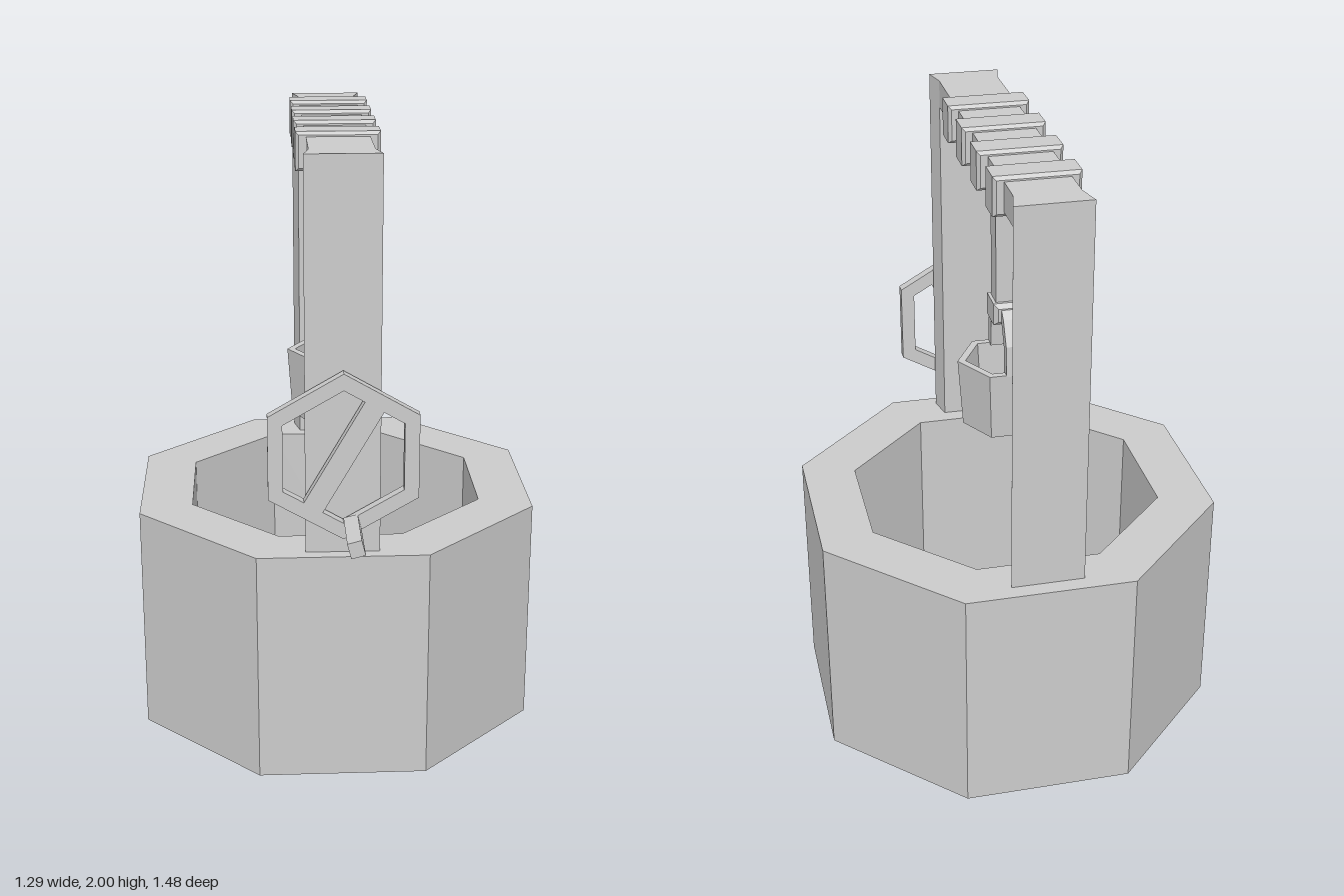
import * as THREE from 'three';

const material = new THREE.MeshStandardMaterial({ color: 0xcccccc, flatShading: true });
const WELL_Z = -0.098; // axis of well ring, rope and bucket
const RIM = 0.757;

const points = (list) => list.map(([x, y]) => new THREE.Vector2(x, y));

const polygon = (sides, radius, offset) =>
  points(Array.from({ length: sides }, (_, i) => {
    const a = offset + (i / sides) * Math.PI * 2;
    return [radius * Math.cos(a), radius * Math.sin(a)];
  }));

// Extrudes an outline (with optional hole) along z, starting at z = 0
function prism(outline, depth, hole) {
  const shape = new THREE.Shape(outline);
  if (hole) shape.holes.push(new THREE.Path(hole));
  return new THREE.ExtrudeGeometry(shape, { depth, bevelEnabled: false });
}

// Box centred on the origin, chamfered at both z ends
function chamferedBox(w, h, d, bevel) {
  const shape = new THREE.Shape(points([[-w / 2, -h / 2], [w / 2, -h / 2], [w / 2, h / 2], [-w / 2, h / 2]]));
  const depth = d - 2 * bevel;
  return new THREE.ExtrudeGeometry(shape, {
    depth, bevelSegments: 1, bevelThickness: bevel, bevelSize: bevel, bevelOffset: -bevel,
  }).translate(0, 0, -depth / 2);
}

export function createModel() {
  const model = new THREE.Group();
  const add = (parent, name, geometry, x = 0, y = 0, z = 0) => {
    const mesh = new THREE.Mesh(geometry, material);
    mesh.name = name;
    mesh.position.set(x, y, z);
    parent.add(mesh);
    return mesh;
  };
  const group = (name) => {
    const g = new THREE.Group();
    g.name = name;
    model.add(g);
    return g;
  };

  // Octagonal well wall, open through the middle
  const wall = prism(polygon(8, 0.696, Math.PI / 8), RIM, polygon(8, 0.512, Math.PI / 8));
  add(model, 'wellWall', wall.rotateX(-Math.PI / 2), 0, 0, WELL_Z);

  // Frame: two posts that narrow towards the well, and the beam between them
  const frame = group('frame');
  const post = prism(points([[-0.115, -0.038], [0.115, -0.038], [0.097, 0.038], [-0.097, 0.038]]), 1.985 - RIM)
    .rotateX(-Math.PI / 2);
  add(frame, 'frontPost', post, 0, RIM, 0.467);
  add(frame, 'backPost', post, 0, RIM, -0.652).rotation.y = Math.PI;
  add(frame, 'beam', new THREE.BoxGeometry(0.194, 0.09, 1.044), 0, 1.94, -0.092);

  // Rope wound around the beam, hanging rope and its knot
  const rope = group('rope');
  const band = chamferedBox(0.258, 0.12, 0.104, 0.01);
  for (let i = 0; i < 4; i++) add(rope, 'ropeBand', band, 0, 1.94, 0.168 - i * 0.2077);
  add(rope, 'hangingRope', new THREE.BoxGeometry(0.07, 0.47, 0.07), 0, 1.665, -0.0925);
  add(rope, 'knot', chamferedBox(0.09, 0.072, 0.118, 0.014), 0, 1.404, -0.0925);

  // Six-sided hollow bucket with an arched handle
  const bucket = group('bucket');
  const profile = points([[0, 1.005], [0.136, 1.005], [0.152, 1.23], [0.126, 1.23], [0.112, 1.035], [0, 1.035]]);
  add(bucket, 'pail', new THREE.LatheGeometry(profile, 6, Math.PI / 2), 0, 0, -0.0925);
  const outer = [[0.132, 1.225], [0.125, 1.325], [0.085, 1.4], [0.055, 1.425]];
  const inner = [[0.05, 1.38], [0.063, 1.37], [0.09, 1.315], [0.097, 1.225]];
  const mirror = (list) => list.map(([x, y]) => [-x, y]).reverse();
  const arch = points([...outer, ...mirror(outer), ...mirror(inner), ...inner]);
  add(bucket, 'handle', prism(arch, 0.044).translate(0, 0, -0.022).rotateY(Math.PI / 2), 0, 0, -0.0925);

  // Six-sided crank wheel with one slanted spoke and a grip
  const crank = group('crank');
  const rim = prism(polygon(6, 0.263, Math.PI / 2), 0.036, polygon(6, 0.211, Math.PI / 2));
  add(crank, 'wheelRim', rim, 0, 1.082, 0.517);
  add(crank, 'spoke', new THREE.BoxGeometry(0.066, 0.37, 0.036), 0, 1.082, 0.535).rotation.z = -Math.PI / 6;
  add(crank, 'grip', new THREE.BoxGeometry(0.0445, 0.0495, 0.2), 0.0275, 0.866, 0.642).rotation.z = 0.25;

  return model;
}
